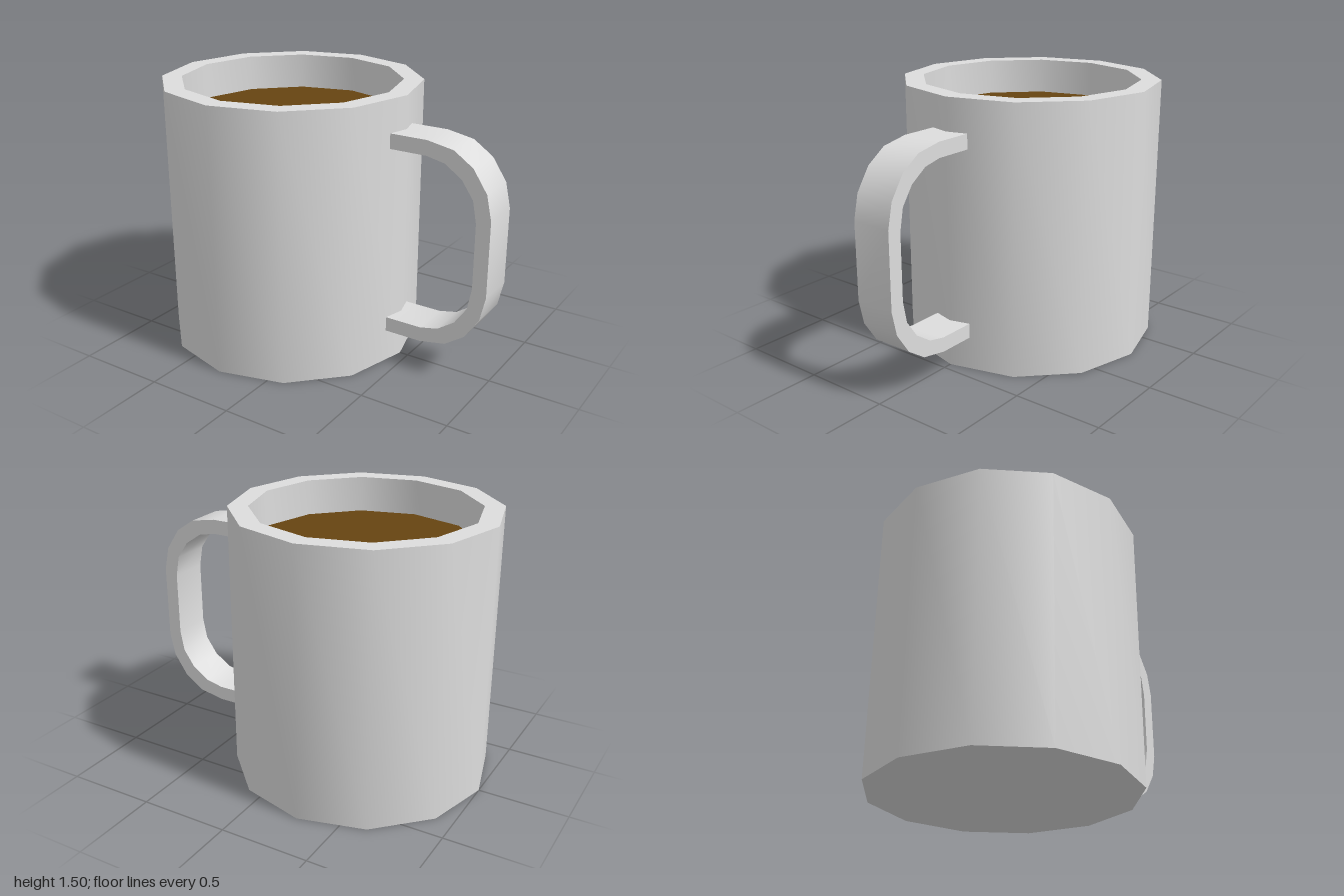
import * as THREE from 'three';
import { toCreasedNormals } from 'three/addons/utils/BufferGeometryUtils.js';

const CENTRE_X = -0.275, OUTER = 0.725, INNER = 0.615, HEIGHT = 1.5;
const FLOOR = 0.1, LEVEL = 1.3, SIDES = 12, CREASE = 0.75;

export function createModel() {
  const group = new THREE.Group();
  const ceramic = new THREE.MeshStandardMaterial({ name: 'grey ceramic', color: 0xdddddd });
  const coffee = new THREE.MeshStandardMaterial({ name: 'brown coffee', color: 0x664411 });

  const add = (name, geometry, material) => {
    const mesh = new THREE.Mesh(geometry, material);
    mesh.name = name;
    group.add(mesh);
    return mesh;
  };
  const points = (list) => list.map(([x, y]) => new THREE.Vector2(x, y));

  // Hollow cup: base, outer wall, rim, inner wall and floor
  const profile = points([
    [0, 0], [OUTER, 0], [OUTER, HEIGHT], [INNER, HEIGHT], [INNER, FLOOR], [0, FLOOR],
  ]);
  const cup = new THREE.LatheGeometry(profile, SIDES);
  add('cup', toCreasedNormals(cup, CREASE), ceramic).position.x = CENTRE_X;

  // Coffee surface, filling the inside of the cup
  const surface = new THREE.CircleGeometry(INNER, SIDES).rotateX(-Math.PI / 2);
  add('coffee', surface, coffee).position.set(CENTRE_X, LEVEL, 0);

  // Handle: flat band bent into a rounded D, mirrored about its mid height
  const midY = 0.7525, width = 0.23;
  const outerHalf = [[0.418, 0.5675], [0.63, 0.5675], [0.78, 0.54], [0.89, 0.465], [0.97, 0.345], [1, 0.21]];
  const innerHalf = [[0.418, 0.485], [0.63, 0.485], [0.733, 0.463], [0.83, 0.397], [0.897, 0.3], [0.92, 0.18]];
  const fullSide = (half) => [
    ...half.map(([x, y]) => [x, midY + y]),
    ...half.map(([x, y]) => [x, midY - y]).reverse(),
  ];
  const outline = new THREE.Shape(points([...fullSide(outerHalf), ...fullSide(innerHalf).reverse()]));
  const band = new THREE.ExtrudeGeometry(outline, { depth: width, bevelEnabled: false });
  band.translate(0, 0, -width / 2);
  add('handle', toCreasedNormals(band, CREASE), ceramic);

  return group;
}
